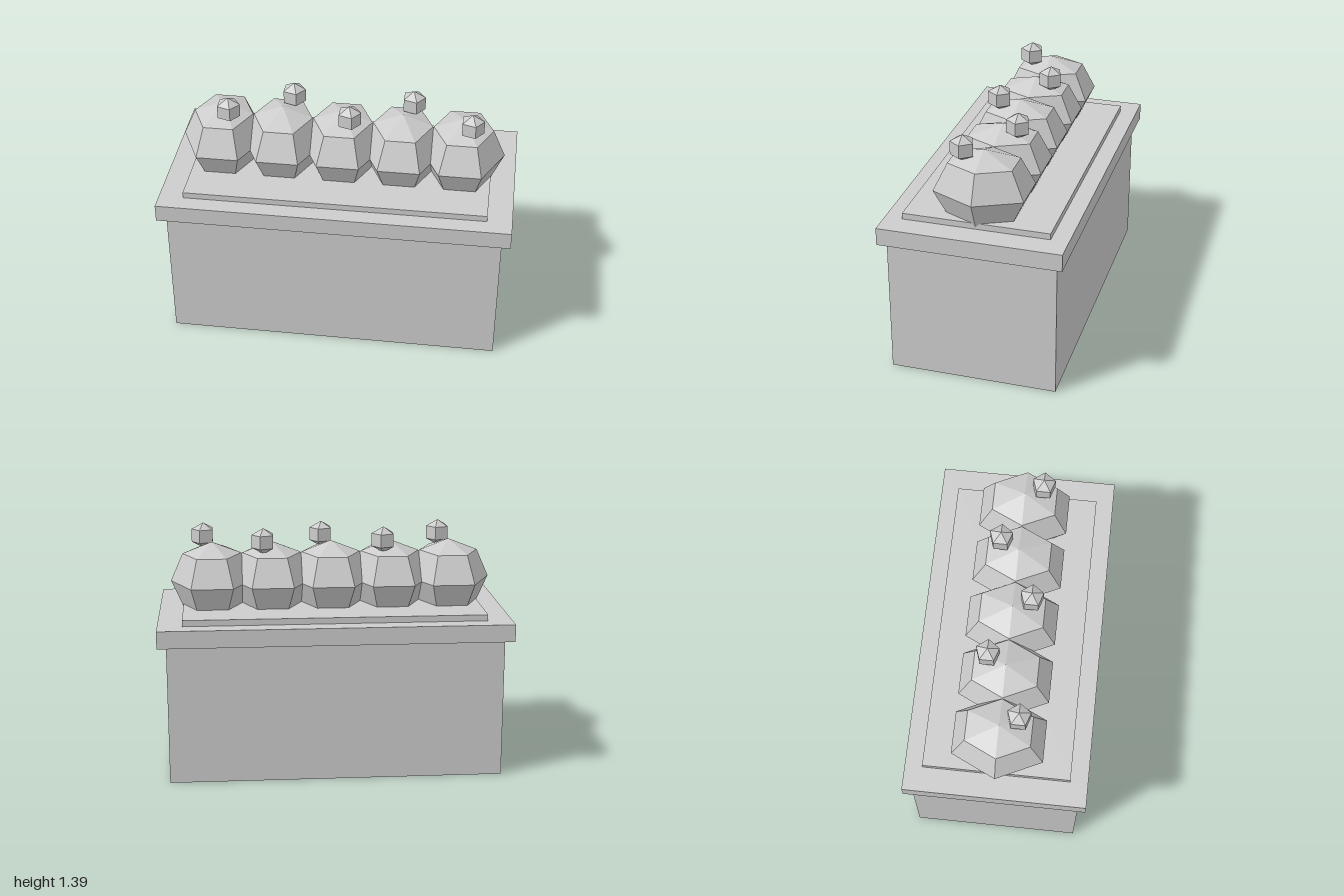
import * as THREE from 'three';

export function createModel() {
  const group = new THREE.Group();
  const grey = new THREE.MeshStandardMaterial({ color: 0xcccccc, flatShading: true });
  grey.name = 'plain grey';

  const add = (name, geometry, x, y, z) => {
    const mesh = new THREE.Mesh(geometry, grey);
    mesh.name = name;
    mesh.position.set(x, y, z);
    group.add(mesh);
    return mesh;
  };
  const slab = (name, width, depth, bottom, top) =>
    add(name, new THREE.BoxGeometry(width, top - bottom, depth), 0, (bottom + top) / 2, 0);

  // Stepped counter: body, overhanging top and serving tray
  slab('counterBody', 1.9, 0.95, 0, 0.8);
  slab('counterTop', 2, 1.03, 0.8, 0.9);
  slab('tray', 1.72, 0.83, 0.9, 0.935);

  // Row of faceted mounds, each with a small bead alternating front and back
  const moundShape = new THREE.SphereGeometry(1, 6, 4).scale(0.24, 0.225, 0.293);
  const beadShape = new THREE.SphereGeometry(1, 5, 3).rotateY(Math.PI).scale(0.078, 0.075, 0.078);
  for (let i = 0; i < 5; i++) {
    const x = (i - 2) * 0.345;
    add('mound', moundShape, x, 1.07, 0);
    add('bead', beadShape, x + 0.049, 1.315, i % 2 ? -0.104 : 0.104);
  }
  return group;
}
